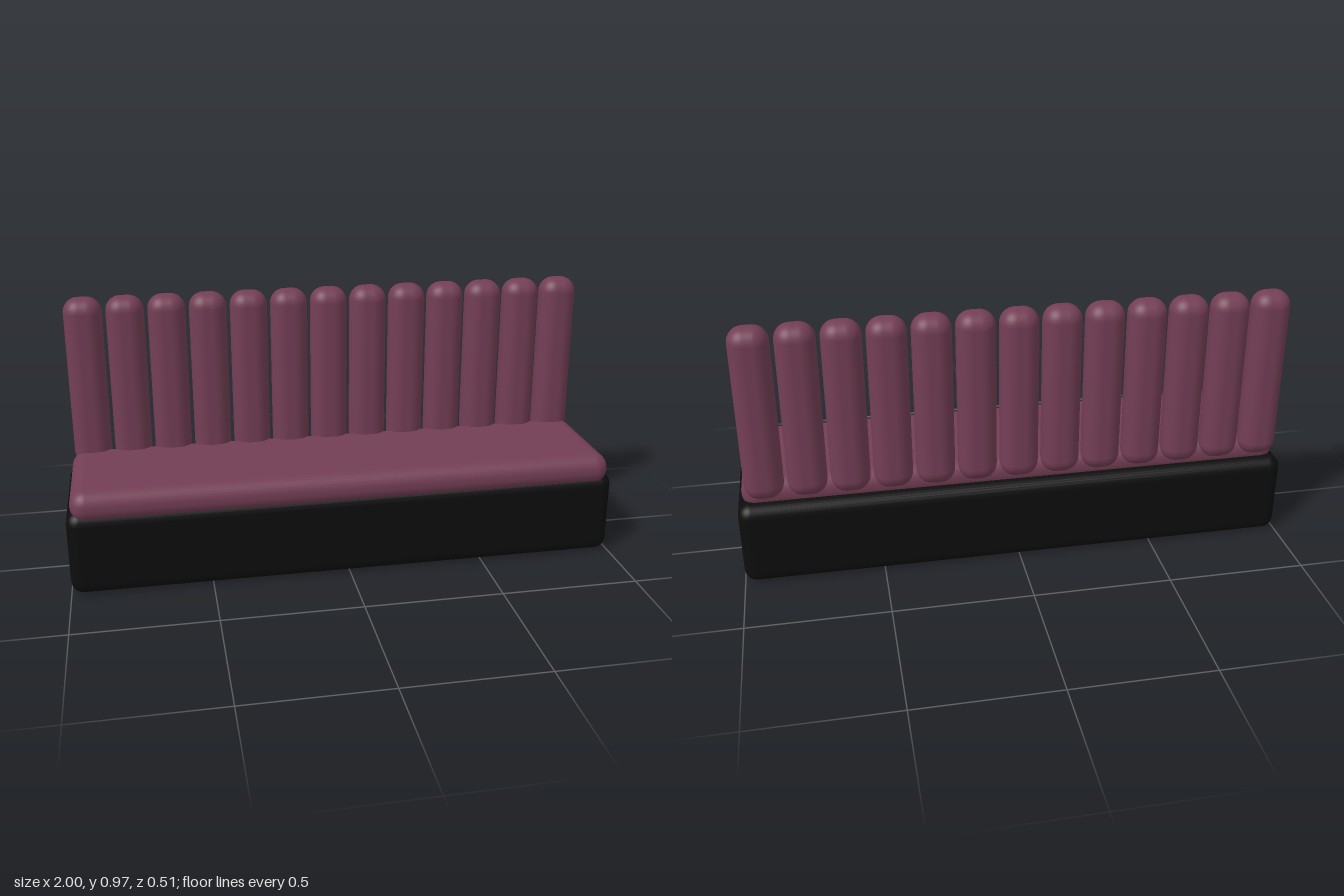
import * as THREE from 'three';
import { RoundedBoxGeometry } from 'three/addons/geometries/RoundedBoxGeometry.js';

const upholstery = new THREE.MeshStandardMaterial({ color: 0x733e54 });
upholstery.name = 'plum upholstery';
const plinth = new THREE.MeshStandardMaterial({ color: 0x0d0d0d });
plinth.name = 'black plinth';

// Rounded block given by its lower and upper corners
function block(name, min, max, radius, segments, material) {
  const size = max.map((v, i) => v - min[i]);
  const mesh = new THREE.Mesh(new RoundedBoxGeometry(...size, segments, radius), material);
  mesh.position.set(...max.map((v, i) => (v + min[i]) / 2));
  mesh.name = name;
  return mesh;
}

export function createModel() {
  const bench = new THREE.Group();
  bench.name = 'banquetteBench';

  // Solid base and the seat cushion sunk slightly into it
  bench.add(block('base', [-1, 0, -0.254], [1, 0.31, 0.25], 0.045, 3, plinth));
  bench.add(block('seatCushion', [-0.983, 0.272, -0.21], [0.983, 0.388, 0.256], 0.055, 4, upholstery));

  // Channelled backrest: a row of upright padded rolls
  const backrest = new THREE.Group();
  backrest.name = 'backrest';
  const count = 13, spacing = 0.1503, halfWidth = 0.069;
  for (let i = 0; i < count; i++) {
    const x = (i - (count - 1) / 2) * spacing - 0.002;
    backrest.add(block('backRoll' + (i + 1), [x - halfWidth, 0.328, -0.254], [x + halfWidth, 0.968, -0.139], 0.055, 5, upholstery));
  }
  bench.add(backrest);
  return bench;
}
